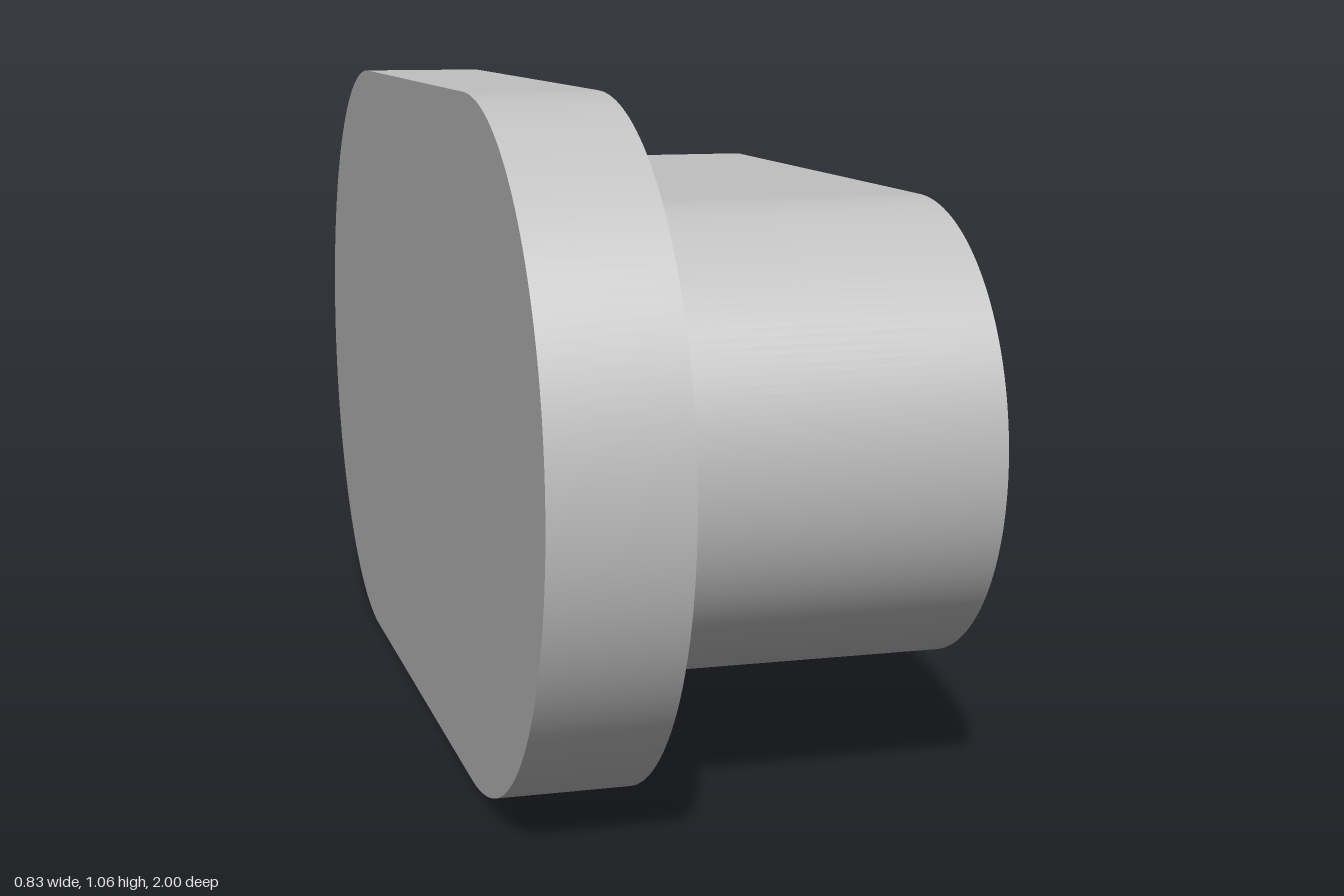
import * as THREE from 'three';
import { toCreasedNormals } from 'three/addons/utils/BufferGeometryUtils.js';

const AXIS_Y = 0.532;     // height of the common axis
const ARC_CENTER = 0.468; // z offset of the rounded ends

// Rounded-end slab extruded along x from x0 to x1
function slab(name, radius, x0, x1, material) {
  const shape = new THREE.Shape();
  shape.absarc(ARC_CENTER, 0, radius, -Math.PI / 2, Math.PI / 2);
  shape.absarc(-ARC_CENTER, 0, radius, Math.PI / 2, Math.PI * 1.5);
  const geometry = new THREE.ExtrudeGeometry(shape, {
    depth: x1 - x0, bevelEnabled: false, curveSegments: 40,
  });
  geometry.rotateY(Math.PI / 2);
  geometry.translate(x0, AXIS_Y, 0);
  const mesh = new THREE.Mesh(toCreasedNormals(geometry, 0.5), material);
  mesh.name = name;
  return mesh;
}

export function createModel() {
  const group = new THREE.Group();
  group.name = 'flangedPlug';
  const grey = new THREE.MeshStandardMaterial({ color: 0xc0c0c0 });
  grey.name = 'grey';

  // Wide flange and the narrower body on it
  group.add(slab('flange', 0.532, -0.417, -0.21, grey));
  group.add(slab('body', 0.364, -0.21, 0.311, grey));

  // Round pin on the end of the body
  const pinGeometry = new THREE.CylinderGeometry(0.166, 0.166, 0.106, 64);
  pinGeometry.rotateZ(-Math.PI / 2);
  const pin = new THREE.Mesh(pinGeometry, grey);
  pin.name = 'pin';
  pin.position.set(0.364, AXIS_Y, 0);
  group.add(pin);

  return group;
}
